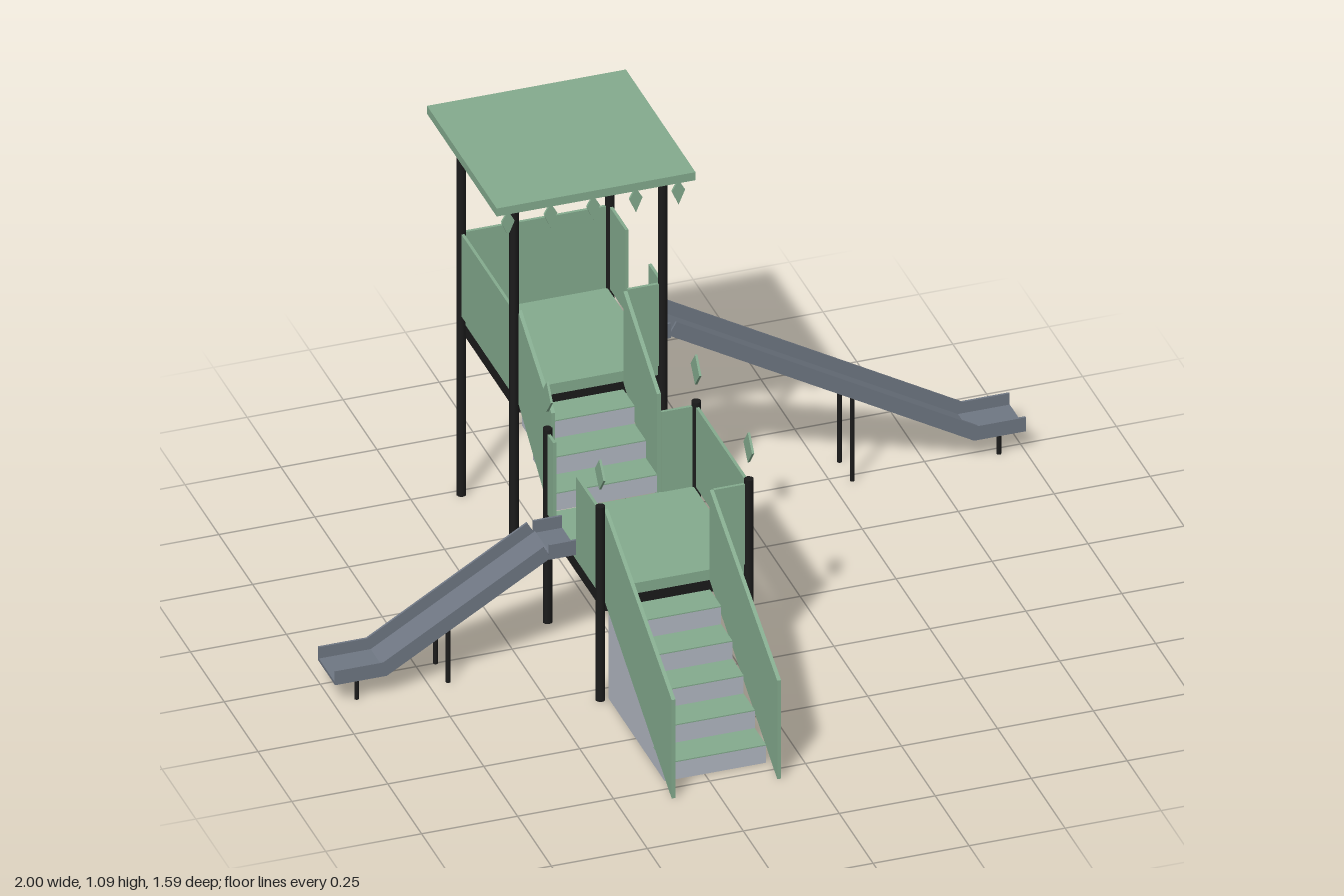
import * as THREE from 'three';

export function createModel() {
  const model = new THREE.Group();
  model.name = 'playground';

  const material = (name, color) => {
    const m = new THREE.MeshStandardMaterial({ color });
    m.name = name;
    return m;
  };
  const green = material('sage green', 0x84ab8e);
  const black = material('post black', 0x1b1b1b);
  const stone = material('step grey', 0xb2b8c2);
  const slate = material('slide slate', 0x6f7783);

  const add = (name, geometry, mat, parent = model) => {
    const mesh = new THREE.Mesh(geometry, mat);
    mesh.name = name;
    parent.add(mesh);
    return mesh;
  };
  // Box given by its minimum and maximum on each axis
  const box = (name, mat, x0, x1, y0, y1, z0, z1, parent) => {
    const mesh = add(name, new THREE.BoxGeometry(x1 - x0, y1 - y0, z1 - z0), mat, parent);
    mesh.position.set((x0 + x1) / 2, (y0 + y1) / 2, (z0 + z1) / 2);
    return mesh;
  };
  // Upright rod standing between two heights
  const rod = (name, r, x, z, y0, y1, parent) => {
    const mesh = add(name, new THREE.CylinderGeometry(r, r, y1 - y0, 12), black, parent);
    mesh.position.set(x, (y0 + y1) / 2, z);
  };
  // Flat outline extruded about its own plane
  const plate = (points, depth) => {
    const shape = new THREE.Shape(points.map(([a, b]) => new THREE.Vector2(a, b)));
    return new THREE.ExtrudeGeometry(shape, { depth, bevelEnabled: false }).translate(0, 0, -depth / 2);
  };
  const diamond = (w, low, high) => plate([[0, -low], [w / 2, 0], [0, high], [-w / 2, 0]], 0.006);

  const LEFT = 0.012, RIGHT = -0.375;   // post lines
  const STAIR = [-0.354, -0.09];        // stair width
  const T = 0.004;                      // half panel thickness

  // Platforms: four posts, black deck frame, green floor
  const platform = (name, front, back, floor, postTop) => {
    const g = new THREE.Group();
    g.name = name;
    model.add(g);
    for (const x of [LEFT, RIGHT])
      for (const z of [front, back]) rod('post', 0.012, x, z, 0, postTop, g);
    box('deckFrame', black, -0.367, 0.004, floor - 0.065, floor - 0.03, back + 0.002, front - 0.002, g);
    box('deckFloor', green, -0.367, 0.004, floor - 0.03, floor, back + 0.002, front - 0.002, g);
    return g;
  };
  const sidePanel = (g, x, z0, z1, y0, y1) => box('sidePanel', green, x - T, x + T, y0, y1, z0, z1, g);
  const endPanel = (g, z, x0, x1, y0, y1) => box('endPanel', green, x0, x1, y0, y1, z - T, z + T, g);

  const lower = platform('lowerPlatform', 0.297, -0.093, 0.315, 0.557);
  sidePanel(lower, LEFT, -0.085, 0.29, 0.315, 0.545);
  sidePanel(lower, RIGHT, -0.085, -0.04, 0.315, 0.545);
  sidePanel(lower, RIGHT, 0.13, 0.29, 0.315, 0.545);
  for (const z of [0.297, -0.093]) endPanel(lower, z, -0.08, 0.004, 0.315, 0.545);

  const upper = platform('upperPlatform', -0.341, -0.731, 0.52, 1.07);
  sidePanel(upper, RIGHT, -0.722, -0.35, 0.52, 0.755);
  sidePanel(upper, LEFT, -0.435, -0.35, 0.52, 0.755);
  sidePanel(upper, LEFT, -0.722, -0.605, 0.52, 0.755);
  endPanel(upper, -0.731, -0.367, 0.004, 0.52, 0.755);
  endPanel(upper, -0.341, -0.08, 0.004, 0.52, 0.755);

  // Roof with hanging diamonds along its front
  box('roof', green, -0.441, 0.077, 1.07, 1.093, -0.797, -0.282);
  for (let i = 0; i < 5; i++)
    add('roofPendant', diamond(0.034, 0.04, 0.031), green).position.set(-0.405 + i * 0.111, 1.038, -0.302);

  // Diamonds floating over the lower posts
  for (const x of [LEFT, RIGHT])
    for (const z of [0.297, -0.093]) {
      const d = add('postDiamond', diamond(0.064, 0.043, 0.043), green);
      d.position.set(x, 0.647, z);
      d.rotation.y = Math.PI / 2;
    }

  // Stairs: grey blocks with thin green treads
  const stairs = (name, count, zFront, y0, run, rise, solid) => {
    const g = new THREE.Group();
    g.name = name;
    model.add(g);
    for (let i = 0; i < count; i++) {
      const z1 = zFront - i * run, top = y0 + (i + 1) * rise;
      box('step', stone, ...STAIR, solid ? y0 : top - rise, top - 0.003, z1 - run, z1, g);
      box('tread', green, ...STAIR, top - 0.003, top, z1 - run, z1, g);
    }
    return g;
  };
  const lowerStairs = stairs('lowerStairs', 5, 0.714, 0, 0.083, 0.052, true);
  const upperStairs = stairs('upperStairs', 3, -0.093, 0.315, 0.083, 0.051, false);

  // Slanted stair walls, outlines given as (z, y)
  const stairWalls = (g, outline) => {
    for (const x of [-0.36, -0.085]) {
      const wall = add('stairWall', plate(outline.map(([z, y]) => [-z, y]), 0.01), green, g);
      wall.rotation.y = Math.PI / 2;
      wall.position.x = x;
    }
  };
  stairWalls(lowerStairs, [[0.797, 0], [0.297, 0.285], [0.297, 0.545], [0.797, 0.283]]);
  stairWalls(upperStairs, [[-0.093, 0.295], [-0.341, 0.488], [-0.341, 0.75], [-0.093, 0.597]]);

  // Slides: bed and two side walls per section, with paired legs; dir is +1 or -1 along x
  const slide = (name, dir, z, xIn, topY, crest, legs) => {
    const g = new THREE.Group();
    g.name = name;
    model.add(g);
    const [cx, cy] = crest;
    const foot = [cx - 0.02, cy - 0.035];
    const bed = 0.008;
    const sections = [
      // flat entry
      [[[xIn, topY - 0.042], [cx - 0.015, topY - 0.042]], [[cx - 0.015, topY], [xIn, topY]]],
      // slope and run-out
      [[foot, [0.865, 0.06], [1, 0.06]], [[1, 0.1], [0.875, 0.1], crest]],
    ];
    const piece = (part, points, depth, zc) =>
      add(part, plate(points.map(([x, y]) => [x * dir, y]), depth), slate, g).position.z = zc;
    for (const [under, over] of sections) {
      for (const s of [-1, 1]) piece('slideWall', [...under, ...over], 0.006, z + s * 0.06);
      const surface = under.map(([x, y]) => [x, y + bed]).reverse();
      piece('slideBed', [...under, ...surface], 0.116, z);
    }
    for (const [x, h] of legs)
      for (const s of [-1, 1]) rod('slideLeg', 0.006, x * dir, z + s * 0.047, 0, h, g);
  };
  slide('upperSlide', 1, -0.522, 0.004, 0.557, [0.09, 0.558], [[0.553, 0.243], [0.935, 0.063]]);
  slide('lowerSlide', -1, 0.047, 0.366, 0.35, [0.457, 0.348], [[0.7, 0.16], [0.938, 0.063]]);

  return model;
}
